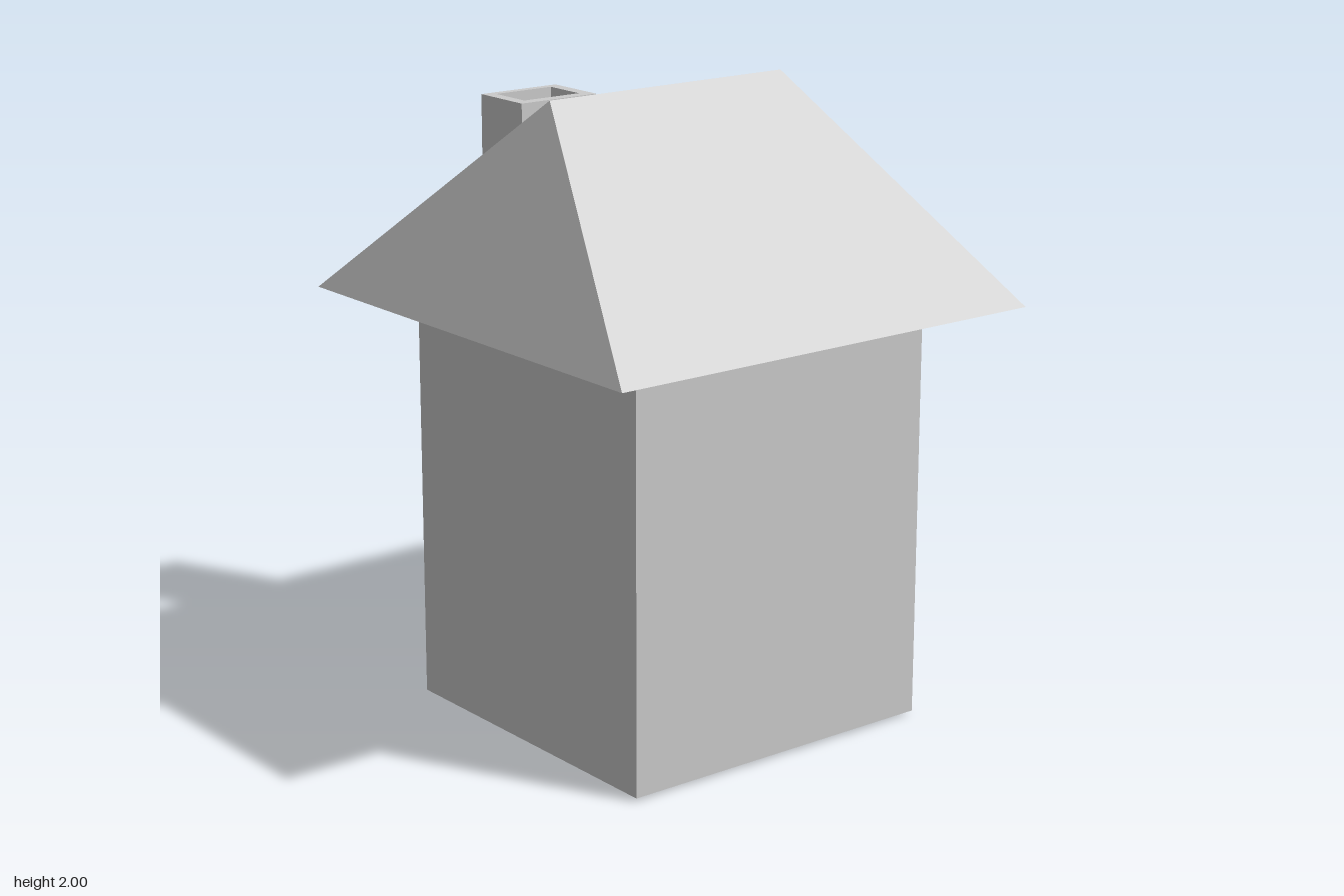
import * as THREE from 'three';

const mat = new THREE.MeshStandardMaterial({ color: 0xcccccc, flatShading: true, side: THREE.DoubleSide });
const BASE = 0.01, EAVE = 1.34;
const WALL = { x: 0.555, front: 0.655, back: -0.445 };

const pts = (list) => list.map(([x, y]) => new THREE.Vector2(x, y));

// Outline of a chamfered arch: half widths and heights at shoulder and crown
const arch = (c, w, crownW, bottom, shoulder, crown) => [
  [c - w, bottom], [c - w, shoulder], [c - crownW, crown],
  [c + crownW, crown], [c + w, shoulder], [c + w, bottom],
];

// Solid between two arches that share a bottom line
const archFrame = (outer, inner, depth) =>
  new THREE.ExtrudeGeometry(new THREE.Shape(pts([...outer, ...[...inner].reverse()])), { depth, bevelEnabled: false });

// Box given by its lower and upper corners
function boxBetween([x0, y0, z0], [x1, y1, z1]) {
  return new THREE.BoxGeometry(x1 - x0, y1 - y0, z1 - z0)
    .translate((x0 + x1) / 2, (y0 + y1) / 2, (z0 + z1) / 2);
}

// Turns an x-y drawing to face +x (drawing x becomes -z)
const faceRight = (geo, x) => geo.rotateY(Math.PI / 2).translate(x, 0, 0);

export function createModel() {
  const model = new THREE.Group();
  const add = (name, geo, parent = model) => {
    const mesh = new THREE.Mesh(geo, mat);
    mesh.name = name;
    parent.add(mesh);
    return mesh;
  };

  // Walls, open underneath
  const h = EAVE - BASE, midY = (EAVE + BASE) / 2;
  const depth = WALL.front - WALL.back, midZ = (WALL.front + WALL.back) / 2;
  add('frontWall', new THREE.PlaneGeometry(2 * WALL.x, h).translate(0, midY, WALL.front));
  add('backWall', new THREE.PlaneGeometry(2 * WALL.x, h).rotateY(Math.PI).translate(0, midY, WALL.back));
  add('rightWall', new THREE.PlaneGeometry(depth, h).rotateY(-Math.PI / 2).translate(-WALL.x, midY, midZ));

  // Wall with the doorway cut out
  const doorOuter = arch(-0.105, 0.275, 0.093, 0.12, 0.895, 1.005);
  const doorInner = arch(-0.105, 0.242, 0.08, 0.12, 0.875, 0.975);
  const doorWall = new THREE.Shape(pts([
    [-WALL.front, BASE], [-WALL.back, BASE], [-WALL.back, EAVE], [-WALL.front, EAVE],
  ]));
  doorWall.holes.push(new THREE.Path(pts(doorOuter)));
  add('doorWall', faceRight(new THREE.ShapeGeometry(doorWall), WALL.x));

  // Doorway: raised frame, recessed door and step
  const doorway = new THREE.Group();
  doorway.name = 'doorway';
  model.add(doorway);
  add('doorFrame', faceRight(archFrame(doorOuter, doorInner, 0.1), 0.48), doorway);
  add('door', faceRight(new THREE.ShapeGeometry(new THREE.Shape(pts(doorInner))), 0.482), doorway);
  add('doorStep', boxBetween([0.48, BASE, -0.17], [0.62, 0.12, 0.38]), doorway);

  // Hipped roof with a flat underside
  const roof = new THREE.BufferGeometry();
  roof.setAttribute('position', new THREE.Float32BufferAttribute([
    -0.775, EAVE, 0.875, 0.775, EAVE, 0.875, 0.775, EAVE, -0.675, -0.775, EAVE, -0.675,
    -0.445, 2, 0.105, 0.445, 2, 0.105,
  ], 3));
  roof.setIndex([0, 1, 5, 0, 5, 4, 1, 2, 5, 2, 3, 4, 2, 4, 5, 3, 0, 4, 0, 3, 2, 0, 2, 1]);
  const flatRoof = roof.toNonIndexed();
  flatRoof.computeVertexNormals();
  add('roof', flatRoof);

  // Fireplace bay at the back with an arched opening
  const fireplace = new THREE.Group();
  fireplace.name = 'fireplace';
  model.add(fireplace);
  const bayOuter = arch(0, 0.33, 0.12, BASE, 0.815, 0.955);
  const bayInner = arch(0, 0.25, 0.1, BASE, 0.77, 0.87);
  add('fireplaceArch', archFrame(bayOuter, bayInner, 0.335).translate(0, 0, -0.78), fireplace);
  add('fireplaceBack', new THREE.ShapeGeometry(new THREE.Shape(pts(bayInner))).rotateY(Math.PI).translate(0, 0, -0.52), fireplace);
  add('hearth', boxBetween([-0.25, BASE, -0.78], [0.25, 0.025, -0.52]), fireplace);

  // Hollow chimney rising from the fireplace
  const rect = (x0, x1, y0, y1) => pts([[x0, y0], [x1, y0], [x1, y1], [x0, y1]]);
  const flue = new THREE.Shape(rect(-0.147, 0.147, 0.45, 0.67));
  flue.holes.push(new THREE.Path(rect(-0.108, 0.108, 0.49, 0.642)));
  add('chimney', new THREE.ExtrudeGeometry(flue, { depth: 0.96, bevelEnabled: false })
    .rotateX(-Math.PI / 2).translate(0, 0.92, 0));
  add('chimneyFloor', boxBetween([-0.11, 1.72, -0.645], [0.11, 1.75, -0.487]));

  // Leaning signpost with a blank board
  const sign = new THREE.Group();
  sign.name = 'signpost';
  sign.position.set(0.48, 0, -0.757);
  sign.rotation.z = 0.145;
  model.add(sign);
  add('post', boxBetween([-0.005, 0, -0.011], [0.005, 0.84, 0.011]), sign);
  const board = add('signBoard', new THREE.BoxGeometry(0.012, 0.215, 0.262), sign);
  board.position.set(-0.012, 0.775, 0.008);
  board.rotation.y = 0.26;

  return model;
}
